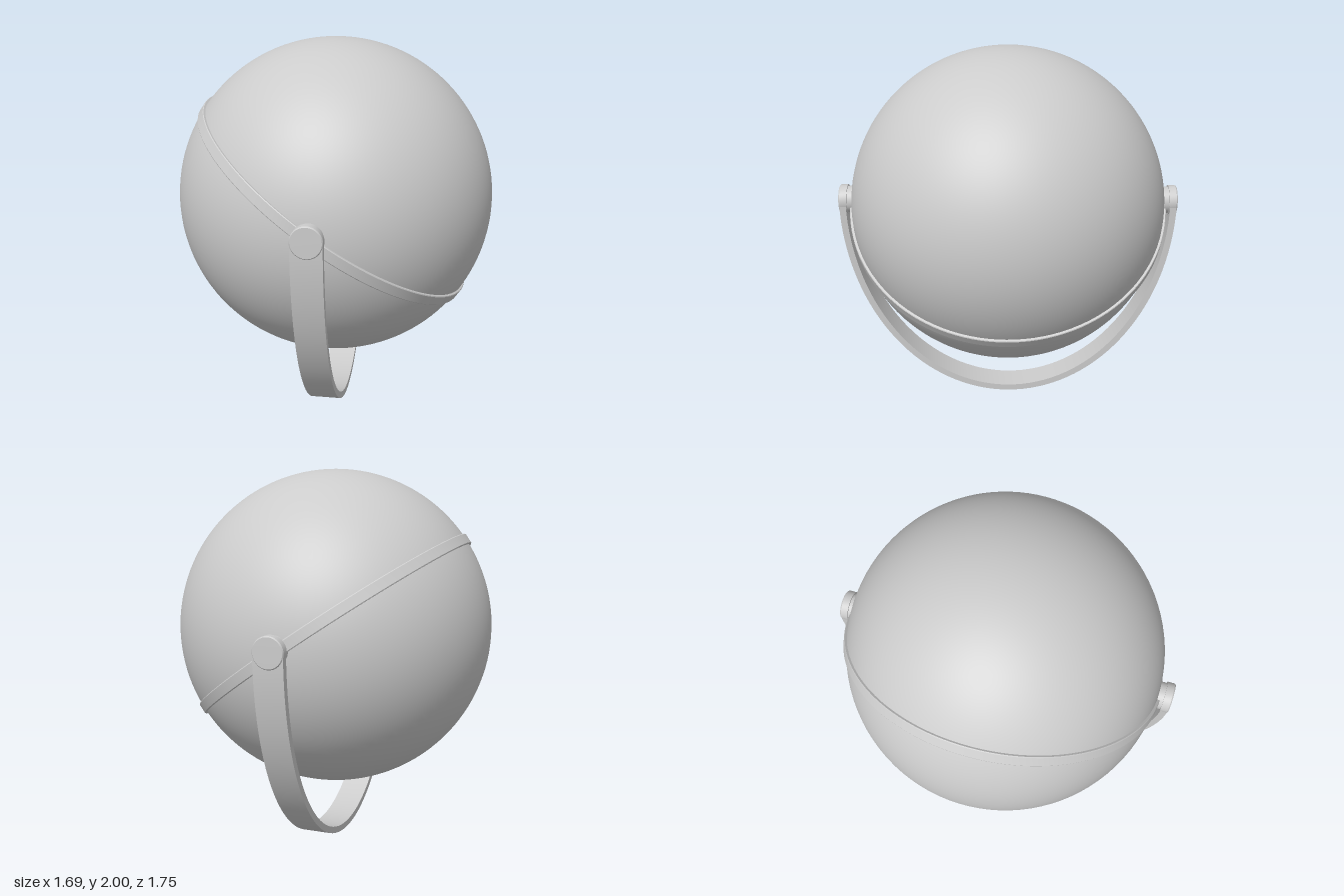
import * as THREE from 'three';
import { toCreasedNormals } from 'three/addons/utils/BufferGeometryUtils.js';

const R = 0.845;          // ball radius
const CY = 1.155;         // ball centre height
const PIVOT_Y = 1.17;     // pivot height
const STRAP_W = 0.155;    // strap width
const STRAP_T = 0.035;    // strap thickness

export function createModel() {
  const material = new THREE.MeshStandardMaterial({ color: 0xcccccc });
  const model = new THREE.Group();
  model.name = 'ballOnYoke';

  const add = (name, geometry, parent = model) => {
    const mesh = new THREE.Mesh(geometry, material);
    mesh.name = name;
    parent.add(mesh);
    return mesh;
  };
  const lathe = (points, segments) => toCreasedNormals(
    new THREE.LatheGeometry(points.map(([x, y]) => new THREE.Vector2(x, y)), segments), 0.5);

  // Ball
  add('ball', new THREE.SphereGeometry(R, 96, 64)).position.y = CY;

  // Raised seam band, a tilted great circle through the pivots
  const w = 0.029, outer = 0.858, inner = 0.83;
  const band = add('seamBand', lathe(
    [[inner, -w], [outer - 0.003, -w], [outer, -w + 0.004], [outer, w - 0.004], [outer - 0.003, w], [inner, w]], 128));
  band.position.y = CY;
  band.rotation.x = 0.61;

  // U-shaped strap: half-elliptical ring extruded across its width
  const a = 0.912, steps = 64;
  const arc = (rx, ry) => Array.from({ length: steps + 1 }, (_, i) => {
    const t = Math.PI * (1 + i / steps);
    return new THREE.Vector2(rx * Math.cos(t), PIVOT_Y + ry * Math.sin(t));
  });
  const outline = [...arc(a, PIVOT_Y), ...arc(a - STRAP_T, PIVOT_Y - STRAP_T).reverse()];
  const strap = new THREE.ExtrudeGeometry(new THREE.Shape(outline), { depth: STRAP_W, bevelEnabled: false });
  strap.translate(0, 0, -STRAP_W / 2);
  add('yokeStrap', toCreasedNormals(strap, 0.5));

  // Pivots on both ends: round strap end and spacer running into the ball
  for (const side of [1, -1]) {
    const pivot = new THREE.Group();
    pivot.name = side > 0 ? 'backPivot' : 'frontPivot';
    pivot.position.y = PIVOT_Y;
    pivot.rotation.z = -side * Math.PI / 2;
    add('pivotCap', lathe(
      [[0, 0.872], [0.08, 0.872], [0.08, 0.91], [0.075, 0.916], [0, 0.917]], 40), pivot);
    add('pivotSpacer', lathe([[0, 0.78], [0.072, 0.78], [0.072, 0.875], [0, 0.875]], 40), pivot);
    model.add(pivot);
  }

  // Turn the whole assembly about the vertical axis
  model.rotation.y = 1.173;
  const root = new THREE.Group();
  root.name = 'model';
  root.add(model);
  return root;
}
